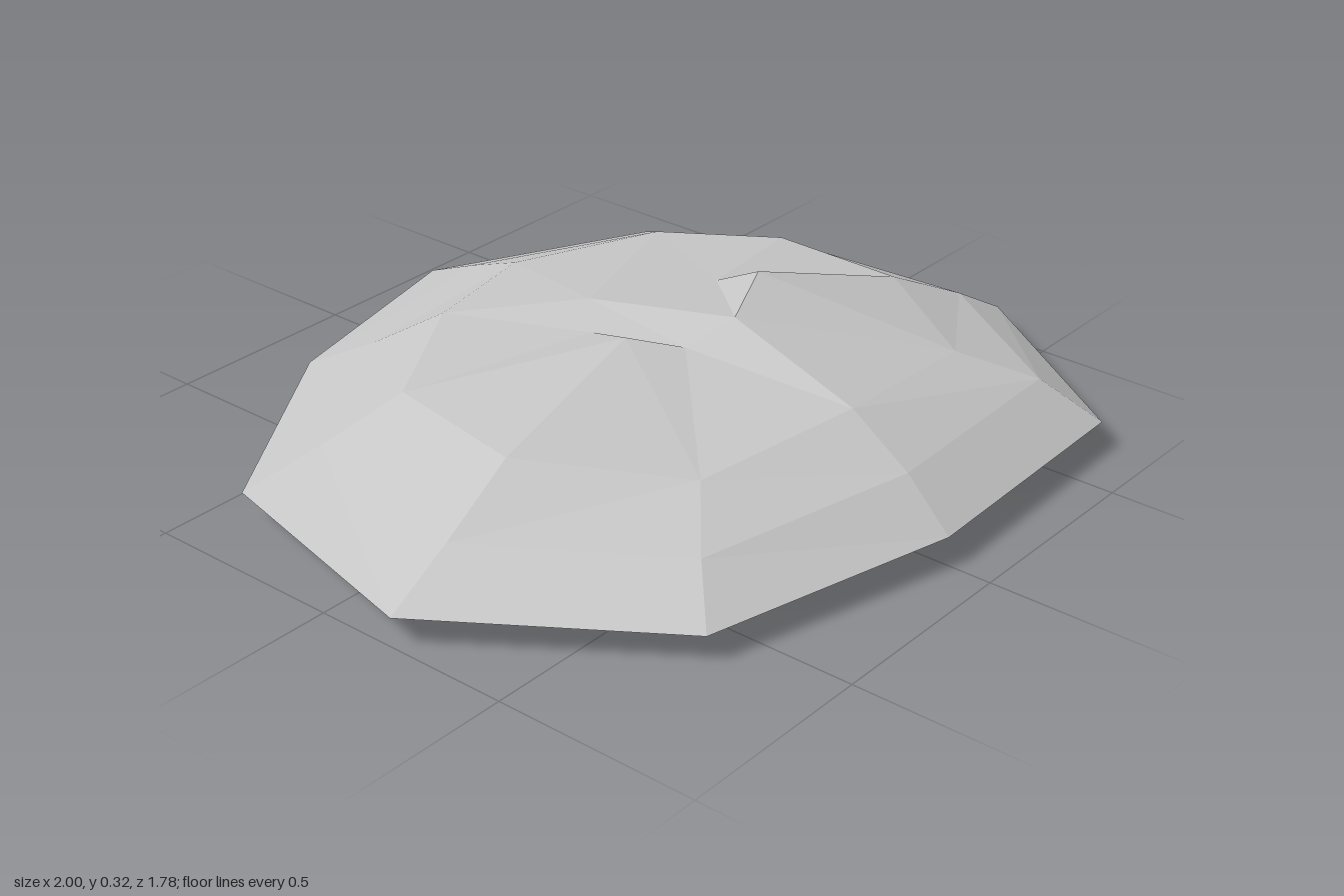
import * as THREE from 'three';

// Builds a faceted surface from triangles of [x, y, z] corners
function facets(name, triangles, material) {
  const geometry = new THREE.BufferGeometry();
  geometry.setAttribute('position', new THREE.Float32BufferAttribute(triangles.flat(2), 3));
  geometry.computeVertexNormals();
  const mesh = new THREE.Mesh(geometry, material);
  mesh.name = name;
  return mesh;
}

// Joins an outer ring to the ring inside it, facing up; one quad may be split the other way
function band(outer, inner, flipped = -1) {
  const out = [];
  outer.forEach((p, i) => {
    const j = (i + 1) % outer.length;
    if (i === flipped) out.push([p, inner[i], outer[j]], [inner[i], inner[j], outer[j]]);
    else out.push([p, inner[i], inner[j]], [p, inner[j], outer[j]]);
  });
  return out;
}

export function createModel() {
  const stone = new THREE.MeshStandardMaterial({ color: 0xc6c6c6 });
  stone.name = 'light grey stone';

  // Widest outline of the slab
  const rim = [
    [-1, 0.07, 0.2], [-0.85, 0.07, -0.41], [-0.33, 0.08, -0.74], [0.25, 0.07, -0.89], [0.74, 0.07, -0.6],
    [0.95, 0.07, -0.15], [1, 0.08, 0.36], [0.66, 0.07, 0.87], [0, 0.07, 0.89], [-0.63, 0.065, 0.73],
  ];
  // Lower shoulder of the top
  const shoulder = [
    [-0.8, 0.145, 0.17], [-0.67, 0.14, -0.34], [-0.24, 0.14, -0.61], [0.23, 0.14, -0.73], [0.66, 0.15, -0.51],
    [0.85, 0.15, -0.18], [0.88, 0.15, 0.32], [0.6, 0.16, 0.73], [0.04, 0.16, 0.75], [-0.5, 0.14, 0.61],
  ];
  // Upper shoulder
  const crown = [
    [-0.57, 0.235, 0.13], [-0.48, 0.22, -0.27], [-0.13, 0.22, -0.48], [0.22, 0.2, -0.57], [0.56, 0.22, -0.39],
    [0.7, 0.24, -0.1], [0.72, 0.225, 0.23], [0.5, 0.215, 0.56], [0.08, 0.24, 0.57], [-0.33, 0.2, 0.47],
  ];
  // Peaks and notches in the middle
  const a = [-0.07, 0.3, 0.04], b = [-0.04, 0.26, -0.09], c = [0.01, 0.28, 0.15];
  const d = [0.14, 0.32, 0.19], e = [0.37, 0.32, 0.08], f = [0.35, 0.27, -0.03], g = [0.07, 0.275, -0.19];
  const k = crown;
  const peaks = [
    [k[0], a, k[9]], [a, c, k[9]], [k[9], c, k[8]], [c, d, k[8]], [d, k[7], k[8]], [d, e, k[7]],
    [e, k[6], k[7]], [e, f, k[6]], [f, k[5], k[6]], [f, k[4], k[5]], [g, k[4], f], [g, k[3], k[4]],
    [g, k[2], k[3]], [b, k[2], g], [b, k[1], k[2]], [k[0], k[1], a], [a, k[1], b],
    [a, b, c], [b, g, c], [g, d, c], [g, f, d], [d, f, e],
  ].map(([p, q, r]) => {
    // Turn every triangle to face up
    const up = (q[2] - p[2]) * (r[0] - p[0]) - (q[0] - p[0]) * (r[2] - p[2]);
    return up > 0 ? [p, q, r] : [p, r, q];
  });

  // Flat foot, narrower than the rim
  const foot = rim.map(([x, , z]) => [x * 0.71 + 0.02, 0, z * 0.71]);
  const underside = band(rim, foot).map(([p, q, r]) => [p, r, q]);
  const base = foot.map((p, i) => [[0, 0, 0], p, foot[(i + 1) % foot.length]]);

  const model = new THREE.Group();
  model.name = 'flatRock';
  model.add(
    facets('rockSlopes', [...band(rim, shoulder), ...band(shoulder, crown, 9)], stone),
    facets('rockPeaks', peaks, stone),
    facets('rockUnderside', underside, stone),
    facets('rockBase', base, stone),
  );
  return model;
}
